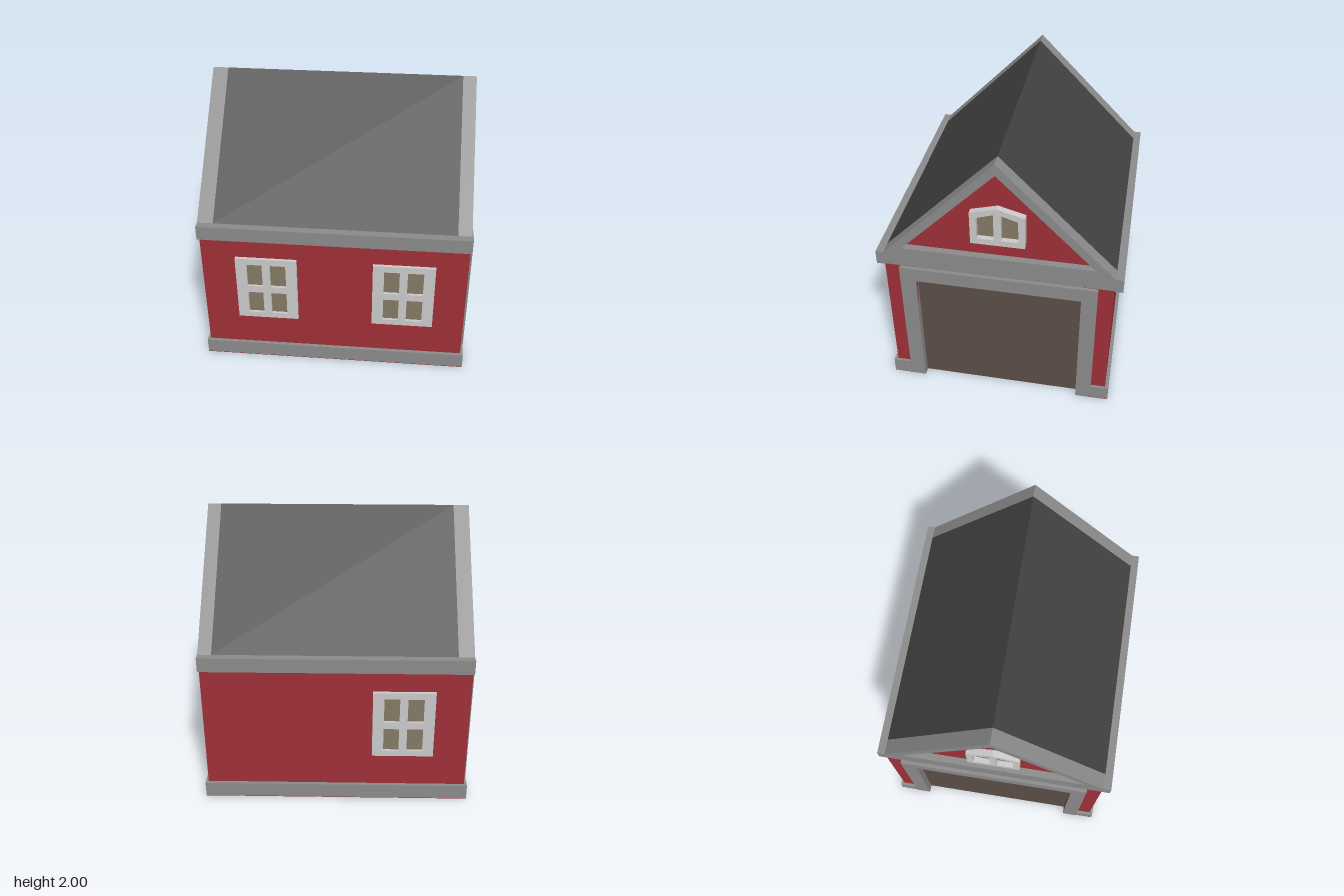
import * as THREE from 'three';

const mat = (color) => new THREE.MeshStandardMaterial({ color });

export function createModel() {
  const red = mat(0xa03038), trim = mat(0x8c8c8c), frame = mat(0xc2c2c2);
  const slate = mat(0x424242), glass = mat(0x867a66), doorMat = mat(0x5b4f47);
  const house = new THREE.Group();
  house.name = 'garage';

  const add = (parent, name, geometry, material) => {
    const mesh = new THREE.Mesh(geometry, material);
    mesh.name = name;
    parent.add(mesh);
    return mesh;
  };
  const points = (list) => list.map(([x, y]) => new THREE.Vector2(x, y));

  // Outline with holes, extruded along z from z0 to z1
  const slab = (outline, holes, z0, z1) => {
    const shape = new THREE.Shape(points(outline));
    holes.forEach((h) => shape.holes.push(new THREE.Path(points(h))));
    return new THREE.ExtrudeGeometry(shape, { depth: z1 - z0, bevelEnabled: false }).translate(0, 0, z0);
  };
  const box = (x0, x1, y0, y1, z0, z1) => new THREE.BoxGeometry(x1 - x0, y1 - y0, z1 - z0)
    .translate((x0 + x1) / 2, (y0 + y1) / 2, (z0 + z1) / 2);
  const rect = (x0, x1, y0, y1) => [[x0, y0], [x1, y0], [x1, y1], [x0, y1]];

  // Floor plan with a door recess at each end, raised from y0 to y1
  const doorX = 0.91, doorZ = 0.58;
  const plan = (x, z, y0, y1) => slab([
    [-x, -z], [x, -z], [x, -doorZ], [doorX, -doorZ], [doorX, doorZ], [x, doorZ],
    [x, z], [-x, z], [-x, doorZ], [-doorX, doorZ], [-doorX, -doorZ], [-x, -doorZ],
  ], [], y0, y1).rotateX(-Math.PI / 2);

  add(house, 'floor', plan(0.965, 0.82, 0, 0.004), red);
  add(house, 'baseTrim', plan(0.965, 0.82, 0.004, 0.115), trim);
  add(house, 'walls', plan(0.945, 0.795, 0.1, 1.08), red);
  add(house, 'eaveBand', box(-0.945, 0.945, 1.075, 1.18, -0.855, 0.855), trim);

  // Roof body, and the gable wall that shows inside the rake trim
  const roofLine = [[-0.8, 1.18], [0.8, 1.18], [0, 2]];
  const gableLine = [[-0.665, 1.235], [0.665, 1.235], [0, 1.915]];
  add(house, 'roof', slab(roofLine, [], -0.835, 0.85).rotateY(Math.PI / 2), slate);
  add(house, 'gableWalls', slab(gableLine, [], -0.895, 0.895).rotateY(Math.PI / 2), red);

  // Four-pane window facing +z, centred on x = 0
  const wallWindow = (x, side) => {
    const g = new THREE.Group();
    g.name = 'wallWindow';
    const panes = [];
    for (const [a, b] of [[-0.14, -0.03], [0.027, 0.14]]) {
      for (const [c, d] of [[0.42, 0.605], [0.66, 0.85]]) panes.push(rect(a, b, c, d));
    }
    add(g, 'windowFrame', slab(rect(-0.22, 0.22, 0.375, 0.9), panes, 0.79, 0.818), frame);
    add(g, 'windowGlass', box(-0.18, 0.18, 0.4, 0.87, 0.79, 0.799), glass);
    g.position.x = x;
    if (side < 0) g.rotation.y = Math.PI;
    house.add(g);
  };
  wallWindow(-0.48, 1);
  wallWindow(0.5, 1);
  wallWindow(-0.48, -1);

  // Each end: rake trim, door frame, door and gable window, built facing +z
  for (const side of [1, -1]) {
    const end = new THREE.Group();
    end.name = side > 0 ? 'leftEnd' : 'rightEnd';
    add(end, 'rakeTrim', slab(roofLine, [gableLine], side > 0 ? 0.85 : 0.835, 0.945), trim);
    add(end, 'doorFrame', slab([
      [-0.69, 0.004], [-doorZ, 0.004], [-doorZ, 0.97], [doorZ, 0.97],
      [doorZ, 0.004], [0.69, 0.004], [0.69, 1.078], [-0.69, 1.078],
    ], [], 0.9, 0.97), trim);
    add(end, 'door', box(-doorZ, doorZ, 0.004, 0.98, 0.9, 0.913), doorMat);
    const panes = [-1, 1].map((s) => [
      [s * 0.025, 1.395], [s * 0.14, 1.395], [s * 0.14, 1.565], [s * 0.025, 1.603],
    ]);
    const gableWindow = new THREE.Group();
    gableWindow.name = 'gableWindow';
    add(gableWindow, 'gableWindowFrame', slab(
      [[-0.185, 1.35], [0.185, 1.35], [0.185, 1.6], [0, 1.652], [-0.185, 1.6]], panes, 0.89, 0.94), frame);
    add(gableWindow, 'gableWindowGlass', slab(
      [[-0.16, 1.37], [0.16, 1.37], [0.16, 1.58], [0, 1.63], [-0.16, 1.58]], [], 0.89, 0.903), glass);
    gableWindow.position.x = 0.005;
    end.add(gableWindow);
    end.rotation.y = side * Math.PI / 2;
    house.add(end);
  }
  return house;
}
